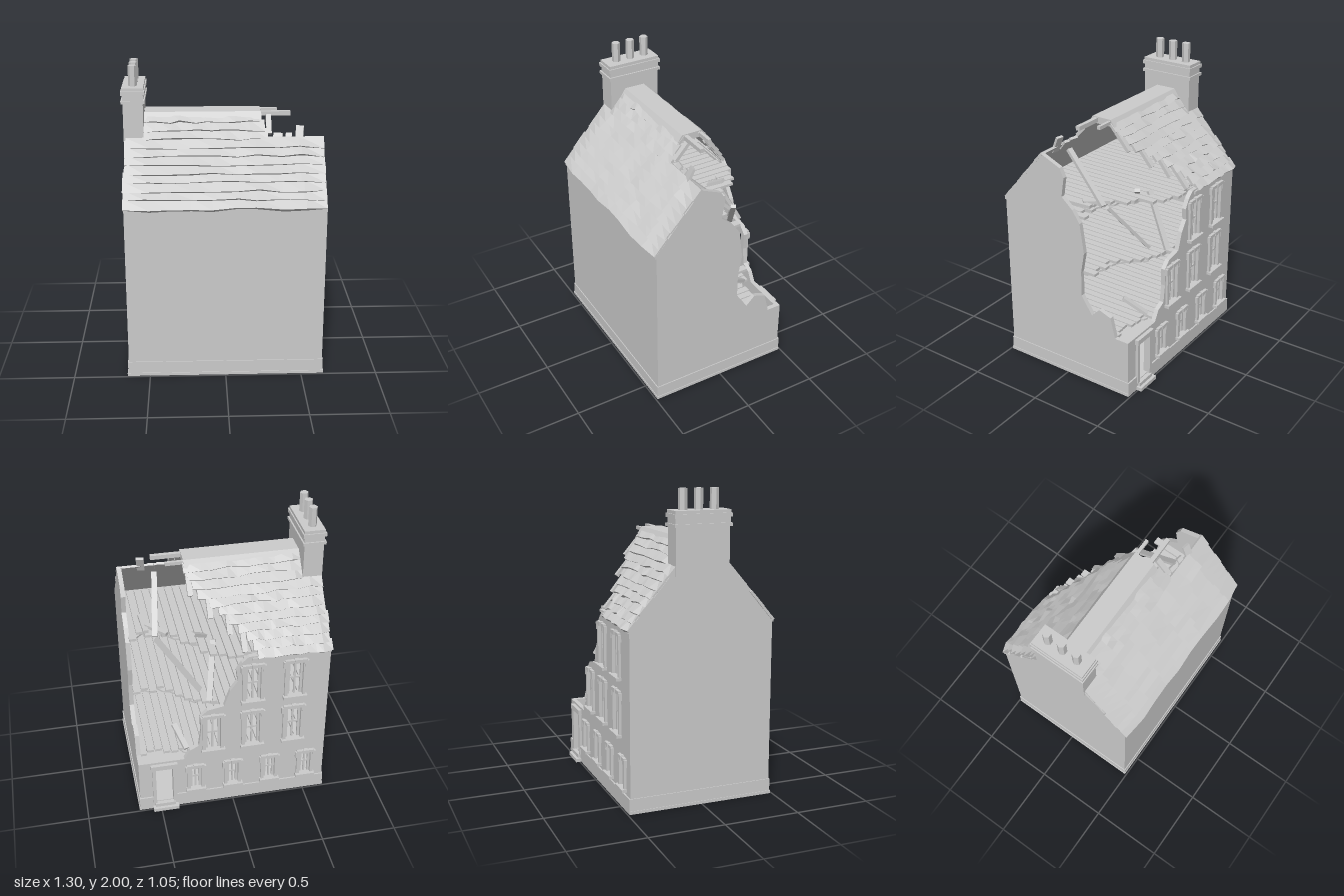
import * as THREE from 'three';

const mat = new THREE.MeshStandardMaterial({ color: 0xcccccc, flatShading: true, side: THREE.DoubleSide });

let seed = 7;
const rnd = () => (seed = (seed * 16807) % 2147483647) / 2147483647;
const jit = (a) => (rnd() * 2 - 1) * a;

function add(parent, name, geo) {
  const m = new THREE.Mesh(geo, mat);
  m.name = name;
  parent.add(m);
  return m;
}
// box given by its limits on each axis
function box(parent, name, x0, x1, y0, y1, z0, z1) {
  const m = add(parent, name, new THREE.BoxGeometry(x1 - x0, y1 - y0, z1 - z0));
  m.position.set((x0 + x1) / 2, (y0 + y1) / 2, (z0 + z1) / 2);
  return m;
}
// square timber between two points
function beam(parent, name, a, b, w = 0.028, h = 0.028) {
  const p = new THREE.Vector3(...a), q = new THREE.Vector3(...b);
  const m = add(parent, name, new THREE.BoxGeometry(w, h, p.distanceTo(q)));
  m.position.copy(p).lerp(q, 0.5);
  m.lookAt(q);
}
const outline = (pts) => new THREE.Shape(pts.map(([x, y]) => new THREE.Vector2(x, y)));
const extrude = (shape, depth) => new THREE.ExtrudeGeometry(shape, { depth, bevelEnabled: false });

// value at x along a list of [x, value] stops
function lerpAt(stops, x) {
  for (let i = 1; i < stops.length; i++) {
    const [a, va] = stops[i - 1], [b, vb] = stops[i];
    if (x <= b) return va + (vb - va) * Math.max(0, (x - a) / (b - a));
  }
  return stops[stops.length - 1][1];
}

// ragged row of roof slates on the +z slope, between distances s0 and s1 from the ridge
function course(x0, x1, s0, s1) {
  const n = 9, pos = [], idx = [];
  for (let i = 0; i <= n; i++) {
    const end = i === 0 || i === n;
    const low = s1 + 0.008 + jit(0.009), lift = end ? -0.004 : 0.012 + jit(0.007);
    const x = x0 + (x1 - x0) * i / n + (end ? jit(0.01) : jit(0.02));
    for (const [s, h] of [[s0 - 0.012, -0.022], [s0 - 0.012, -0.006], [low, lift], [low, -0.022]])
      pos.push(x, 1.68 - 0.765 * s + 0.645 * h, 0.07 + 0.645 * s + 0.765 * h);
    if (i < n) for (let k = 0; k < 4; k++) {
      const a = i * 4 + k, b = i * 4 + (k + 1) % 4;
      idx.push(a, b, b + 4, a, b + 4, a + 4);
    }
  }
  const e = n * 4;
  idx.push(0, 3, 2, 0, 2, 1, e, e + 1, e + 2, e, e + 2, e + 3);
  const g = new THREE.BufferGeometry();
  g.setAttribute('position', new THREE.Float32BufferAttribute(pos, 3));
  g.setIndex(idx);
  const flat = g.toNonIndexed();
  flat.computeVertexNormals();
  return flat;
}

// stone surround, sill and glazing bars on the back wall
function windowUnit(parent, name, x, y0, y1, w) {
  const g = new THREE.Group(), h = w / 2, f = 0.022;
  g.name = name;
  for (const s of [-1, 1]) {
    box(g, 'jamb', x + s * (h + f / 2) - f / 2, x + s * (h + f / 2) + f / 2, y0, y1, -0.496, -0.47);
    box(g, 'ear', x + s * (h + f) - 0.012, x + s * (h + f) + 0.012, y1 - 0.035, y1 + 0.012, -0.5, -0.47);
    box(g, 'sashSide', x + s * (h - 0.008) - 0.008, x + s * (h - 0.008) + 0.008, y0, y1, -0.474, -0.458);
  }
  box(g, 'lintel', x - h - f, x + h + f, y1, y1 + f, -0.5, -0.47);
  box(g, 'keystone', x - 0.014, x + 0.014, y1, y1 + f + 0.006, -0.506, -0.47);
  box(g, 'sill', x - h - f - 0.008, x + h + f + 0.008, y0 - 0.02, y0, -0.515, -0.45);
  box(g, 'mullion', x - 0.006, x + 0.006, y0, y1, -0.472, -0.46);
  const ym = (y0 + y1) / 2;
  box(g, 'transom', x - h, x + h, ym - 0.006, ym + 0.006, -0.472, -0.46);
  parent.add(g);
}

export function createModel() {
  const root = new THREE.Group();
  root.name = 'ruinedHouse';

  // Base and plinth, with a gap at the doorway
  box(root, 'baseSlab', -0.65, 0.65, 0, 0.02, -0.49, 0.49);
  box(root, 'groundFloor', -0.64, 0.64, 0.02, 0.05, -0.48, 0.48);
  box(root, 'frontPlinth', -0.645, 0.645, 0.02, 0.1, 0.45, 0.486);
  for (const s of [-1, 1]) box(root, 'sidePlinth', s * 0.63 - 0.016, s * 0.63 + 0.016, 0.02, 0.1, -0.48, 0.48);
  box(root, 'backPlinth', -0.645, 0.41, 0.02, 0.1, -0.49, -0.45);
  box(root, 'backPlinth', 0.53, 0.645, 0.02, 0.1, -0.49, -0.45);

  // Front wall and eaves
  box(root, 'frontWall', -0.64, 0.64, 0.05, 1.18, 0.45, 0.48);
  box(root, 'frontEaves', -0.64, 0.64, 1.15, 1.17, 0.44, 0.49);
  box(root, 'backEaves', -0.64, -0.12, 1.15, 1.17, -0.49, -0.44);

  // Gable walls, outline in z and y
  const whole = [[0.48, 0.05], [0.48, 1.17], [0.07, 1.65], [-0.07, 1.65], [-0.48, 1.17], [-0.48, 0.05]];
  const broken = [[0.48, 0.05], [0.48, 1.17], [0.17, 1.54], [0.03, 1.48], [0, 1.42], [0.02, 1.29], [-0.06, 1.22],
    [-0.115, 1.14], [-0.145, 0.94], [-0.12, 0.8], [-0.12, 0.63], [-0.2, 0.51], [-0.26, 0.57], [-0.345, 0.54],
    [-0.38, 0.4], [-0.48, 0.4], [-0.48, 0.05]];
  add(root, 'wholeGable', extrude(outline(whole), 0.03).rotateY(-Math.PI / 2)).position.x = -0.61;
  add(root, 'brokenGable', extrude(outline(broken), 0.03).rotateY(-Math.PI / 2)).position.x = 0.64;

  // Back wall with openings, broken down towards the open corner
  const back = outline([[-0.64, 0.05], [0.64, 0.05], [0.64, 0.4], [0.33, 0.4], [0.29, 0.47], [0.23, 0.5], [0.215, 0.62],
    [0.22, 0.74], [0.17, 0.79], [0.06, 0.81], [0.02, 0.93], [-0.03, 1.0], [-0.02, 1.08], [-0.055, 1.14],
    [-0.1, 1.18], [-0.64, 1.18]]);
  const openings = [];
  for (const x of [-0.51, -0.256, 0, 0.256]) openings.push([x, 0.14, 0.32, 0.075]);
  for (const x of [-0.41, -0.13, 0.135]) openings.push([x, 0.47, 0.73, 0.1]);
  for (const x of [-0.41, -0.13]) openings.push([x, 0.84, 1.1, 0.1]);
  for (const [x, y0, y1, w] of [...openings, [0.47, 0.055, 0.35, 0.12]])
    back.holes.push(new THREE.Path([[-1, y0], [1, y0], [1, y1], [-1, y1]].map(([s, y]) => new THREE.Vector2(x + s * w / 2, y))));
  add(root, 'backWall', extrude(back, 0.03)).position.z = -0.48;
  for (const [x, y0, y1, w] of openings) windowUnit(root, 'window', x, y0, y1, w);

  // Doorway surround and steps
  for (const x of [0.4, 0.54]) box(root, 'doorJamb', x - 0.012, x + 0.012, 0.05, 0.35, -0.498, -0.45);
  box(root, 'doorLintel', 0.38, 0.56, 0.35, 0.385, -0.505, -0.45);
  box(root, 'doorStep', 0.38, 0.555, 0, 0.025, -0.528, -0.45);
  box(root, 'doorStep', 0.4, 0.54, 0.025, 0.05, -0.508, -0.45);

  // Broken floors: ceiling sheet below, boards above, back edge given along x
  const floors = [
    [0.385, [[0.24, -0.45], [0.36, -0.38], [0.48, -0.33], [0.62, -0.37]]],
    [0.78, [[0.08, -0.45], [0.25, -0.36], [0.4, -0.22], [0.62, -0.18]]],
    [1.16, [[-0.06, -0.45], [0.12, -0.36], [0.3, -0.18], [0.45, -0.08], [0.62, -0.12]]],
  ];
  for (const [y, edge] of floors) {
    const g = new THREE.Group();
    g.name = 'brokenFloor';
    root.add(g);
    const sheet = [[-0.61, 0.45], [-0.61, -0.45]];
    for (let i = 0; i <= 14; i++) {
      const x = edge[0][0] + (0.61 - edge[0][0]) * i / 14;
      sheet.push([x, Math.max(-0.45, lerpAt(edge, x) + 0.03 + jit(0.025))]);
    }
    sheet.push([0.61, 0.45]);
    add(g, 'ceiling', extrude(outline(sheet), 0.012).rotateX(Math.PI / 2)).position.y = y;
    for (let x = -0.585; x < 0.61; x += 0.0535) {
      const z = Math.max(-0.45, lerpAt(edge, x) + jit(0.045));
      box(g, 'floorBoard', x - 0.023, x + 0.023, y + 0.002, y + 0.02, z, 0.45);
    }
  }

  // Slated roof: front slope nearly whole, back slope torn off diagonally
  const frontRoof = new THREE.Group(), backRoof = new THREE.Group();
  frontRoof.name = 'frontRoof';
  backRoof.name = 'backRoof';
  backRoof.rotation.y = Math.PI;
  root.add(frontRoof, backRoof);
  const tear = [[0, 0.24], [0.1, 0.23], [0.2, 0.19], [0.28, 0.1], [0.36, 0.03], [0.45, -0.05], [0.55, -0.14], [0.66, -0.18]];
  const rows = 11, step = 0.66 / rows;
  for (let i = 0; i < rows; i++) {
    const s = i * step, left = i < 3 ? -0.53 : -0.64;
    add(frontRoof, 'slateCourse', course(left, i < 3 ? 0.24 + i * 0.025 : 0.635, s, s + step));
    add(backRoof, 'slateCourse', course(-lerpAt(tear, s + step / 2), -left, s, s + step));
  }
  const cap = outline([[0.1, 1.645], [0.07, 1.69], [-0.07, 1.69], [-0.1, 1.645]]);
  add(root, 'ridgeCap', extrude(cap, 0.75).rotateY(-Math.PI / 2)).position.x = 0.24;

  // Torn slates along the front edge of the hole
  for (const [x, w, h] of [[0.34, 0.03, 0.02], [0.48, 0.025, 0.07], [0.41, 0.02, 0.02]])
    beam(root, 'tornSlate', [x, 1.5, 0.19], [x + 0.01, 1.54 + h, 0.14], w * 2, 0.018);

  // Exposed roof timbers
  beam(root, 'purlin', [0.15, 1.67, 0.042], [0.435, 1.67, 0.042]);
  beam(root, 'purlin', [0.15, 1.67, -0.06], [0.355, 1.67, -0.06], 0.022, 0.022);
  const rafters = [[0.29, 0.06, 1.66, 0.15, 1.56], [0.22, -0.08, 1.64, -0.2, 1.5], [0.11, -0.18, 1.52, -0.3, 1.38],
    [0, -0.26, 1.43, -0.37, 1.29], [-0.08, -0.33, 1.34, -0.45, 1.2]];
  for (const [x, za, ya, zb, yb] of rafters) beam(root, 'rafter', [x, ya, za], [x, yb, zb], 0.034, 0.024);

  // Fallen timbers lying over the broken floors
  const fallen = [[0.19, 0.85, -0.33, 0.45, 1.2, -0.19], [0.09, 1.2, -0.27, 0.15, 0.85, -0.45],
    [0.37, 1.2, -0.15, 0.49, 1.21, -0.03], [0.45, 1.2, -0.16, 0.4, 1.5, 0.14],
    [0.13, 1.19, -0.2, 0.22, 1.25, -0.26], [0.3, 0.42, -0.4, 0.36, 0.52, -0.25], [0.5, 1.2, -0.1, 0.51, 1.2, 0.1]];
  for (const [a, b, c, d, e, f] of fallen) beam(root, 'fallenTimber', [a, b, c], [d, e, f], 0.036, 0.022);

  // Chimney with stepped bands and hexagonal pots
  const chimney = new THREE.Group();
  chimney.name = 'chimney';
  root.add(chimney);
  const bands = [[1.45, 1.77, 0, 'stack'], [1.77, 1.79, 0.012, 'band'], [1.79, 1.825, 0.002, 'neck'],
    [1.825, 1.85, 0.012, 'band'], [1.85, 1.87, 0.004, 'cap']];
  for (const [y0, y1, o, name] of bands)
    box(chimney, name, -0.643 - o, -0.515 + o, y0, y1, -0.182 - o, 0.175 + o);
  for (const z of [-0.112, -0.008, 0.096])
    add(chimney, 'chimneyPot', new THREE.CylinderGeometry(0.028, 0.028, 0.135, 6).rotateY(Math.PI / 6)).position.set(-0.58, 1.9325, z);

  return root;
}
